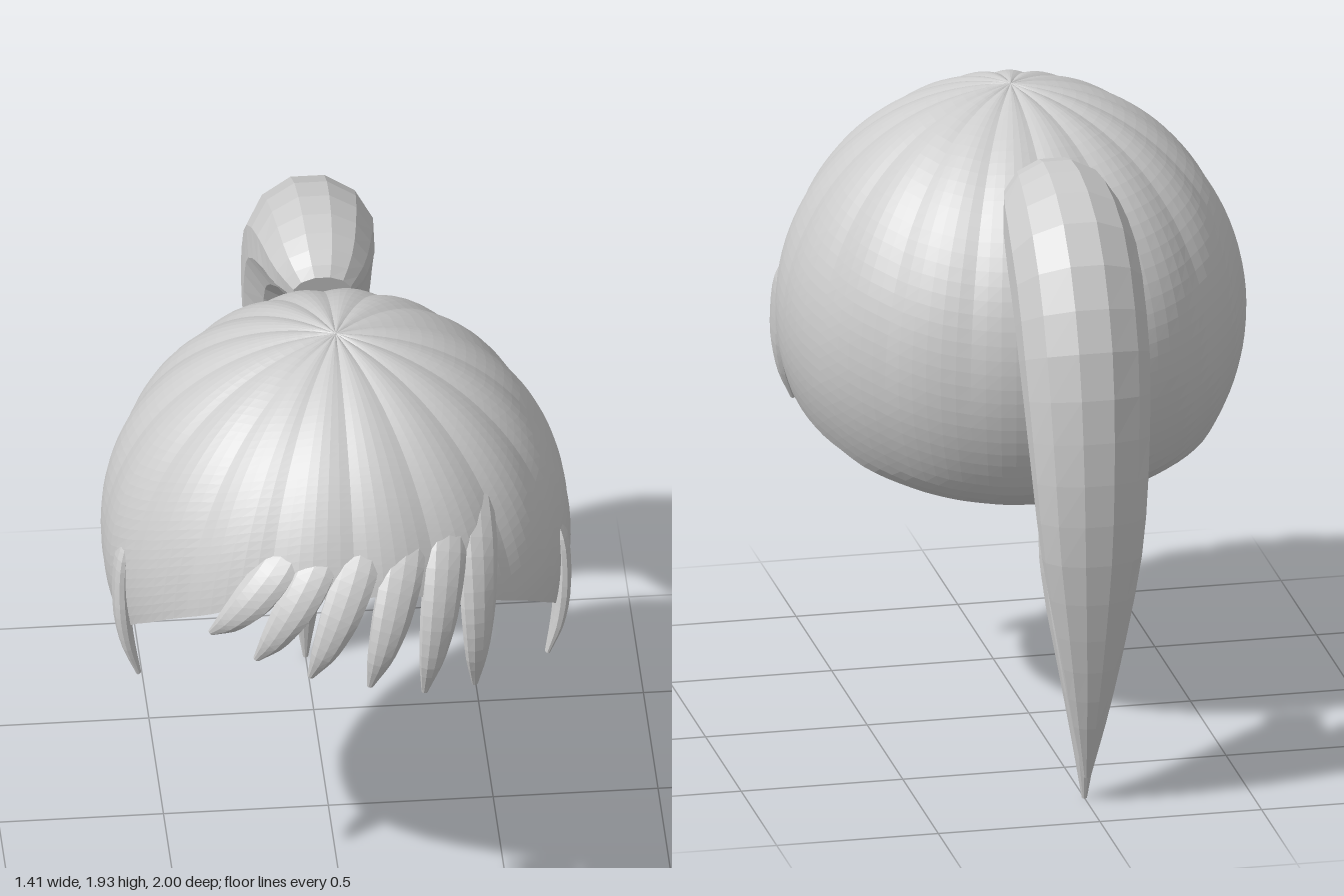
import * as THREE from 'three';

const R = 0.71, CY = 1.22, CZ = 0.255; // dome radius and centre

function makeGeometry(pos, idx) {
  const g = new THREE.BufferGeometry();
  g.setAttribute('position', new THREE.Float32BufferAttribute(pos, 3));
  g.setIndex(idx);
  g.computeVertexNormals();
  return g;
}

// Height of the open hairline at depth z (back to front)
const RIM = [[-0.5, 0.73], [-0.21, 0.75], [-0.13, 0.82], [0, 0.88], [0.2, 0.95], [0.4, 1.0],
  [0.52, 1.08], [0.7, 1.22], [0.82, 1.32], [0.9, 1.4], [1, 1.5]];
function rimHeight(z) {
  for (let i = 1; i < RIM.length; i++) {
    const [z0, y0] = RIM[i - 1], [z1, y1] = RIM[i];
    if (z <= z1) return y0 + (y1 - y0) * (z - z0) / (z1 - z0);
  }
  return 1.5;
}

// Point on the pleated cap at azimuth a (0 = back) and polar angle p
function domePoint(a, p) {
  const s = Math.sin(p), fade = p < 1.1 ? 1 : Math.max(0.15, 1 - (p - 1.1) * 1.3);
  const r = R * (1.002 - 0.018 * Math.pow(s, 0.4) * fade * (1 - Math.abs(Math.sin(8 * a))));
  const y = CY + r * Math.cos(p);
  const tuck = 1 - 10 * Math.max(0, 0.86 - y) ** 2; // nape curls inwards
  const back = Math.cos(a) > 0 ? 1.025 : 1;
  return new THREE.Vector3(r * s * tuck * Math.sin(a), y, CZ - r * s * tuck * back * Math.cos(a));
}

// Spherical cap ending at the hairline
function domeGeometry() {
  const nu = 96, nv = 36, pos = [], idx = [];
  for (let i = 0; i <= nu; i++) {
    const a = i / nu * Math.PI * 2;
    let end = 0.5;
    for (let q = domePoint(a, end); end < 2.6 && q.y > rimHeight(q.z); q = domePoint(a, end)) end += 0.005;
    for (let j = 0; j <= nv; j++) {
      pos.push(...domePoint(a, end * j / nv).toArray());
      if (i < nu && j < nv) {
        const k = i * (nv + 1) + j, n = k + nv + 1;
        idx.push(k, k + 1, n + 1);
        if (j > 0) idx.push(k, n + 1, n);
      }
    }
  }
  // Wind every face outwards
  const A = new THREE.Vector3(), B = new THREE.Vector3(), C = new THREE.Vector3();
  for (let t = 0; t < idx.length; t += 3) {
    A.fromArray(pos, idx[t] * 3); B.fromArray(pos, idx[t + 1] * 3); C.fromArray(pos, idx[t + 2] * 3);
    const out = A.clone().sub(new THREE.Vector3(0, CY, CZ));
    if (B.sub(A).cross(C.sub(A)).dot(out) < 0) [idx[t + 1], idx[t + 2]] = [idx[t + 2], idx[t + 1]];
  }
  return makeGeometry(pos, idx);
}

// Tapered lock swept along stations [x, y, z, halfWidth, halfDepth]; wide = width direction
function lockGeometry(stations, wide, steps, sides) {
  const path = new THREE.CatmullRomCurve3(stations.map(s => new THREE.Vector3(s[0], s[1], s[2])));
  const size = new THREE.CatmullRomCurve3(stations.map(s => new THREE.Vector3(s[3], s[4], 0)));
  const pos = [], idx = [];
  for (let i = 0; i <= steps; i++) {
    const t = i / steps, p = path.getPoint(t), s = size.getPoint(t), T = path.getTangent(t);
    const W = wide.clone().addScaledVector(T, -T.dot(wide)).normalize();
    const D = T.clone().cross(W);
    for (let j = 0; j < sides; j++) {
      const a = (j + 0.5) / sides * Math.PI * 2;
      const v = p.clone().addScaledVector(W, Math.cos(a) * s.x).addScaledVector(D, Math.sin(a) * s.y);
      pos.push(v.x, v.y, v.z);
      if (i < steps) {
        const b = i * sides + j, c = i * sides + (j + 1) % sides;
        idx.push(b, c, c + sides, b, c + sides, b + sides);
      }
    }
  }
  const last = steps * sides;
  for (let j = 1; j < sides - 1; j++) idx.push(0, j + 1, j, last, last + j, last + j + 1);
  return makeGeometry(pos, idx);
}

export function createModel() {
  const group = new THREE.Group();
  const hair = new THREE.MeshStandardMaterial({ color: 0xcccccc, flatShading: true, side: THREE.DoubleSide });
  hair.name = 'hair grey';
  const add = (name, geometry) => {
    const m = new THREE.Mesh(geometry, hair);
    m.name = name;
    group.add(m);
    return m;
  };
  const X = new THREE.Vector3(1, 0, 0), Z = new THREE.Vector3(0, 0, 1);

  add('hairCap', domeGeometry());

  // Fringe: [x at the top, tip x, tip y]; rows below: [way down, lift, halfWidth, halfDepth]
  const onDome = (x, y, lift) => CZ + lift + Math.sqrt(R * R - x * x - (y - CY) ** 2);
  const taper = [[-0.35, -0.06, 0.05, 0.02], [0, -0.018, 0.068, 0.03], [0.35, 0.004, 0.062, 0.032],
    [0.7, 0.015, 0.042, 0.026], [1, 0.015, 0.01, 0.008]];
  [[-0.24, -0.43, 1.26], [-0.13, -0.3, 1.21], [0, -0.14, 1.17],
    [0.145, 0.04, 1.13], [0.28, 0.21, 1.07], [0.385, 0.37, 1.03]].forEach(([x, tx, ty], i) => {
    const wide = new THREE.Vector3(onDome(x, 1.4, 0) - CZ, 0, -(x + tx) / 2).normalize();
    add('fringeLock' + (i + 1), lockGeometry(taper.map(([t, lift, w, d]) => {
      const px = x + (tx - x) * t, py = 1.48 + (ty - 1.48) * t;
      return [px, py, onDome(px, py, lift), w, d];
    }), wide, 14, 10));
  });

  // Locks in front of the ears
  for (const s of [1, -1]) {
    add(s > 0 ? 'leftSideLock' : 'rightSideLock', lockGeometry([
      [s * 0.652, 1.345, 0.42, 0.045, 0.012],
      [s * 0.668, 1.27, 0.44, 0.068, 0.022],
      [s * 0.67, 1.13, 0.462, 0.068, 0.026],
      [s * 0.653, 1.0, 0.487, 0.045, 0.022],
      [s * 0.62, 0.89, 0.503, 0.014, 0.008],
    ], Z, 14, 10));
  }

  // High ponytail
  add('highPonytail', lockGeometry([
    [0, 1.75, -0.215, 0.09, 0.065],
    [0, 1.765, -0.30, 0.145, 0.12],
    [0, 1.757, -0.44, 0.18, 0.165],
    [0, 1.655, -0.63, 0.20, 0.195],
    [0, 1.44, -0.77, 0.20, 0.185],
    [0, 1.15, -0.85, 0.185, 0.15],
    [0, 0.85, -0.885, 0.16, 0.11],
    [0, 0.55, -0.88, 0.108, 0.07],
    [0, 0.3, -0.852, 0.06, 0.042],
    [0, 0.08, -0.815, 0.012, 0.01],
  ], X, 22, 12));

  // Low ponytail under it, with its tie
  add('lowPonytail', lockGeometry([
    [0, 0.97, -0.51, 0.06, 0.065],
    [0, 0.91, -0.61, 0.10, 0.12],
    [0, 0.76, -0.70, 0.12, 0.13],
    [0, 0.6, -0.745, 0.108, 0.113],
    [0, 0.42, -0.775, 0.08, 0.08],
    [0, 0.2, -0.785, 0.042, 0.042],
    [0, 0, -0.78, 0.008, 0.008],
  ], X, 18, 12));
  const tie = add('hairTie', new THREE.SphereGeometry(0.08, 14, 10));
  tie.scale.z = 0.5;
  tie.rotation.x = -0.3;
  tie.position.set(0, 0.985, -0.487);

  return group;
}
